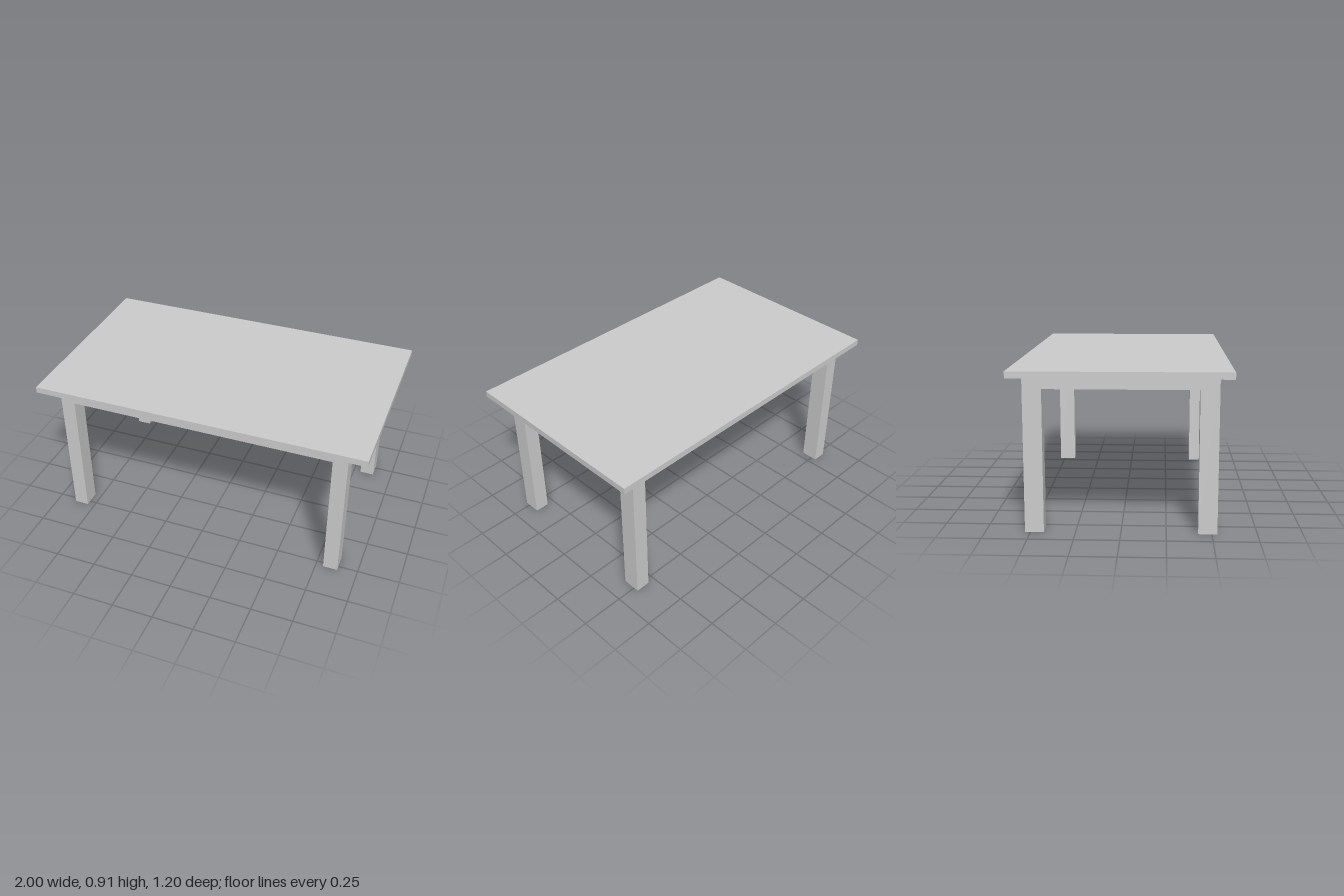
import * as THREE from 'three';

const TOP_Y = 0.912, UNDER_Y = 0.875, RAIL_Y = 0.8;
const OUT_X = 0.882, IN_X = 0.795; // outer and inner faces of the base
const OUT_Z = 0.53, IN_Z = 0.425;

export function createModel() {
  const table = new THREE.Group();
  table.name = 'table';
  const material = new THREE.MeshStandardMaterial({ color: 0xcccccc, flatShading: true });

  // Box given by its minimum and maximum corners
  const box = (name, [x0, y0, z0], [x1, y1, z1]) => {
    const mesh = new THREE.Mesh(new THREE.BoxGeometry(x1 - x0, y1 - y0, z1 - z0), material);
    mesh.position.set((x0 + x1) / 2, (y0 + y1) / 2, (z0 + z1) / 2);
    mesh.name = name;
    table.add(mesh);
    return mesh;
  };

  // Overhanging slab
  box('tabletop', [-1, UNDER_Y, -0.6], [1, TOP_Y, 0.6]);

  const legX = (OUT_X + IN_X) / 2, legZ = (OUT_Z + IN_Z) / 2;

  // Four legs, one at each corner
  for (const sx of [-1, 1]) {
    for (const sz of [-1, 1]) {
      const name = (sz > 0 ? 'front' : 'back') + (sx > 0 ? 'Left' : 'Right') + 'Leg';
      const leg = box(name, [IN_X, 0, IN_Z], [OUT_X, UNDER_Y, OUT_Z]);
      leg.position.x = sx * legX;
      leg.position.z = sz * legZ;
    }
  }

  // Apron rails between the legs, flush with them inside and out
  for (const s of [-1, 1]) {
    const long = box(s > 0 ? 'frontApron' : 'backApron', [-IN_X, RAIL_Y, IN_Z], [IN_X, UNDER_Y, OUT_Z]);
    long.position.z = s * legZ;
    const short = box(s > 0 ? 'leftApron' : 'rightApron', [IN_X, RAIL_Y, -IN_Z], [OUT_X, UNDER_Y, IN_Z]);
    short.position.x = s * legX;
  }

  return table;
}
